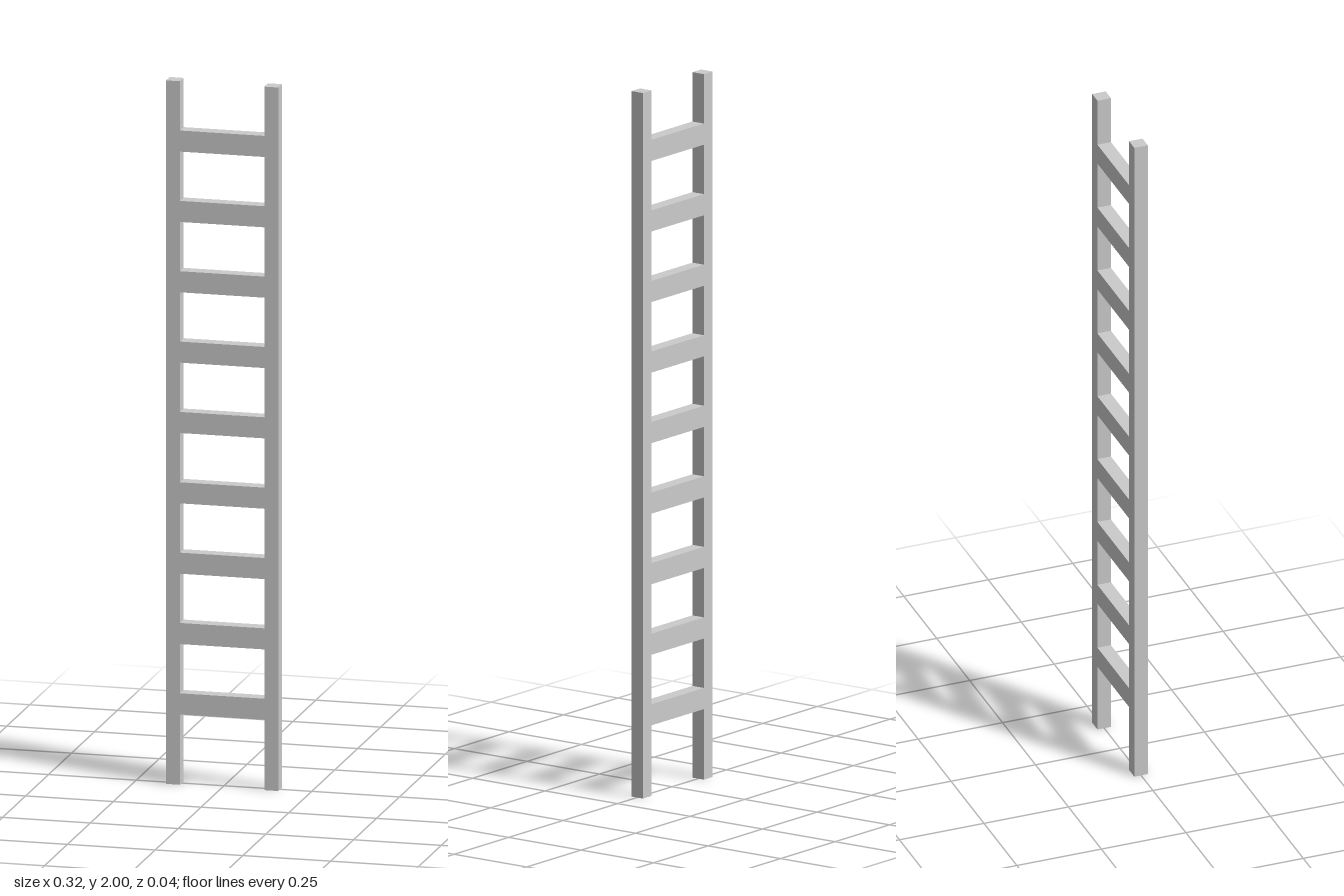
import * as THREE from 'three';

const HEIGHT = 2, DEPTH = 0.04;
const RAIL_WIDTH = 0.04, RAIL_X = 0.14;
const RUNG_COUNT = 9, RUNG_STEP = 0.2, RUNG_HEIGHT = 0.06;

export function createModel() {
  const ladder = new THREE.Group();
  ladder.name = 'ladder';
  const material = new THREE.MeshStandardMaterial({ color: 0xcccccc });

  const add = (name, geometry, x, y) => {
    const mesh = new THREE.Mesh(geometry, material);
    mesh.name = name;
    mesh.position.set(x, y, 0);
    ladder.add(mesh);
  };

  // Two upright rails
  const rail = new THREE.BoxGeometry(RAIL_WIDTH, HEIGHT, DEPTH);
  add('leftRail', rail, RAIL_X, HEIGHT / 2);
  add('rightRail', rail, -RAIL_X, HEIGHT / 2);

  // Evenly spaced rungs, flush with the rails
  const rung = new THREE.BoxGeometry(2 * RAIL_X - RAIL_WIDTH, RUNG_HEIGHT, DEPTH);
  for (let i = 1; i <= RUNG_COUNT; i++) {
    add(`rung${i}`, rung, 0, i * RUNG_STEP + RUNG_HEIGHT / 2);
  }

  return ladder;
}
